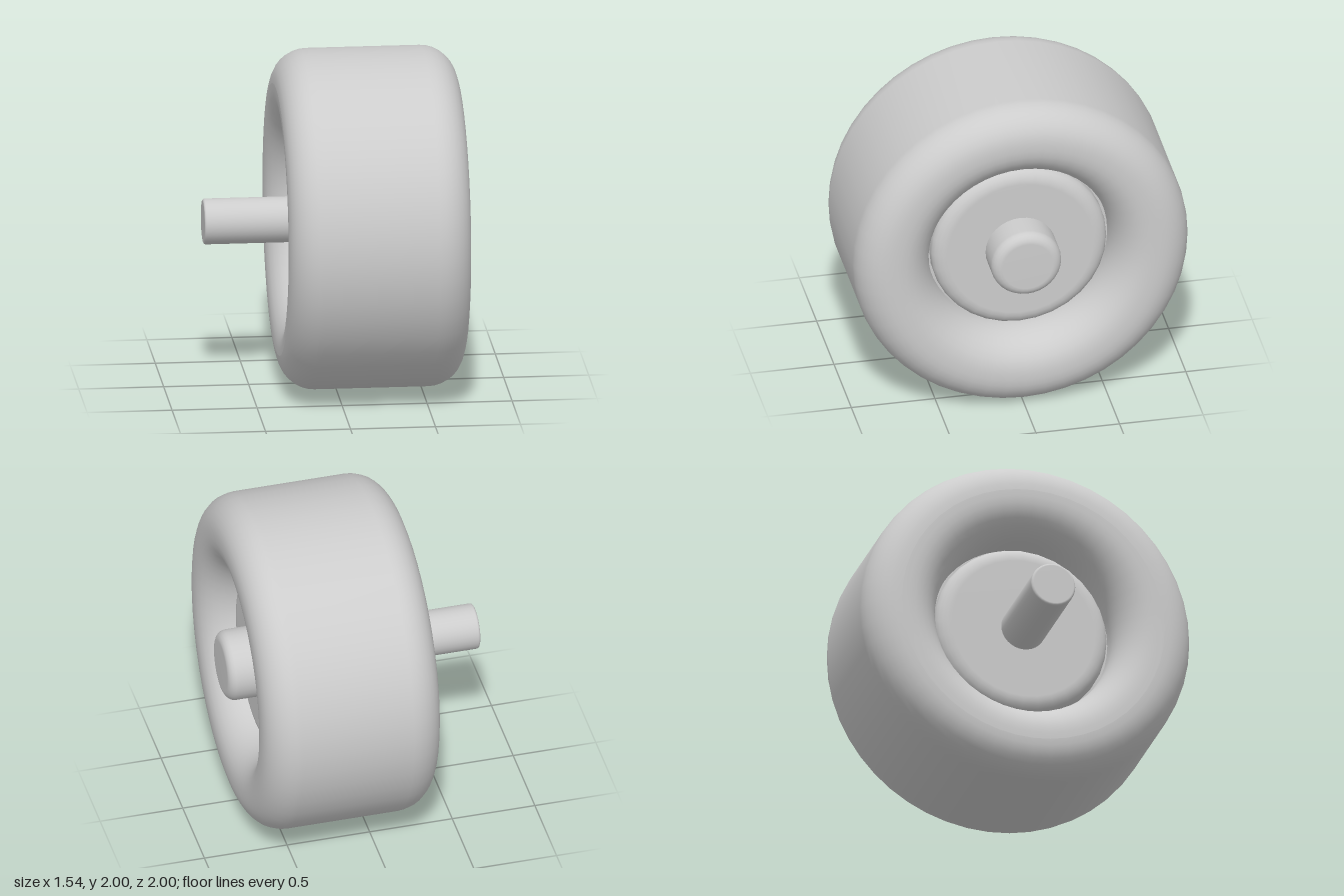
import * as THREE from 'three';

const rubber = new THREE.MeshStandardMaterial({ color: 0xcccccc });
rubber.name = 'light grey';

// Turn a profile of [radius, x] points around the wheel's axle (the x axis, at y = 1)
function turned(name, points, segments) {
  const geometry = new THREE.LatheGeometry(points, segments);
  geometry.rotateZ(-Math.PI / 2);
  const mesh = new THREE.Mesh(geometry, rubber);
  mesh.name = name;
  mesh.position.y = 1;
  return mesh;
}

// Points along an elliptical arc, angles in quarter turns
function arc(cr, cx, rr, rx, from, to, steps = 8) {
  return Array.from({ length: steps + 1 }, (_, i) => {
    const a = (from + (to - from) * i / steps) * Math.PI / 2;
    return new THREE.Vector2(Math.max(0, cr + rr * Math.cos(a)), cx + rx * Math.sin(a));
  });
}

// Solid disc or pin with rounded ends, from x0 to x1
function roundedPin(name, radius, x0, x1, bevelR, bevelX, segments) {
  const r = radius - bevelR;
  return turned(name, [
    new THREE.Vector2(0, x0),
    ...arc(r, x0 + bevelX, bevelR, bevelX, -1, 0, 5),
    ...arc(r, x1 - bevelX, bevelR, bevelX, 0, 1, 5),
    new THREE.Vector2(0, x1),
  ], segments);
}

export function createModel() {
  const wheel = new THREE.Group();
  wheel.name = 'wheel';

  // Tyre: flat tread, rounded shoulders and a flared bore
  const tyre = [
    ...arc(0.8, -0.14, 0.2, 0.2, -1, 0),
    ...arc(0.8, 0.53, 0.2, 0.2, 0, 1),
    ...arc(0.76, 0.48, 0.22, 0.25, 1, 2),
    ...arc(0.76, -0.09, 0.22, 0.25, 2, 3),
    new THREE.Vector2(0.8, -0.34),
  ];
  wheel.add(turned('tyre', tyre, 48));

  // Wheel disc filling the bore
  wheel.add(roundedPin('wheelDisc', 0.525, -0.13, 0.56, 0.09, 0.07, 32));
  // Seat closing the gap between disc and bore
  wheel.add(roundedPin('discSeat', 0.55, -0.03, 0.45, 0.01, 0.01, 48));

  // Hub cap on the outer side, axle on the inner side
  wheel.add(roundedPin('hubCap', 0.21, 0.4, 0.77, 0.06, 0.06, 32));
  wheel.add(roundedPin('axle', 0.135, -0.77, 0.3, 0.015, 0.015, 32));

  return wheel;
}
